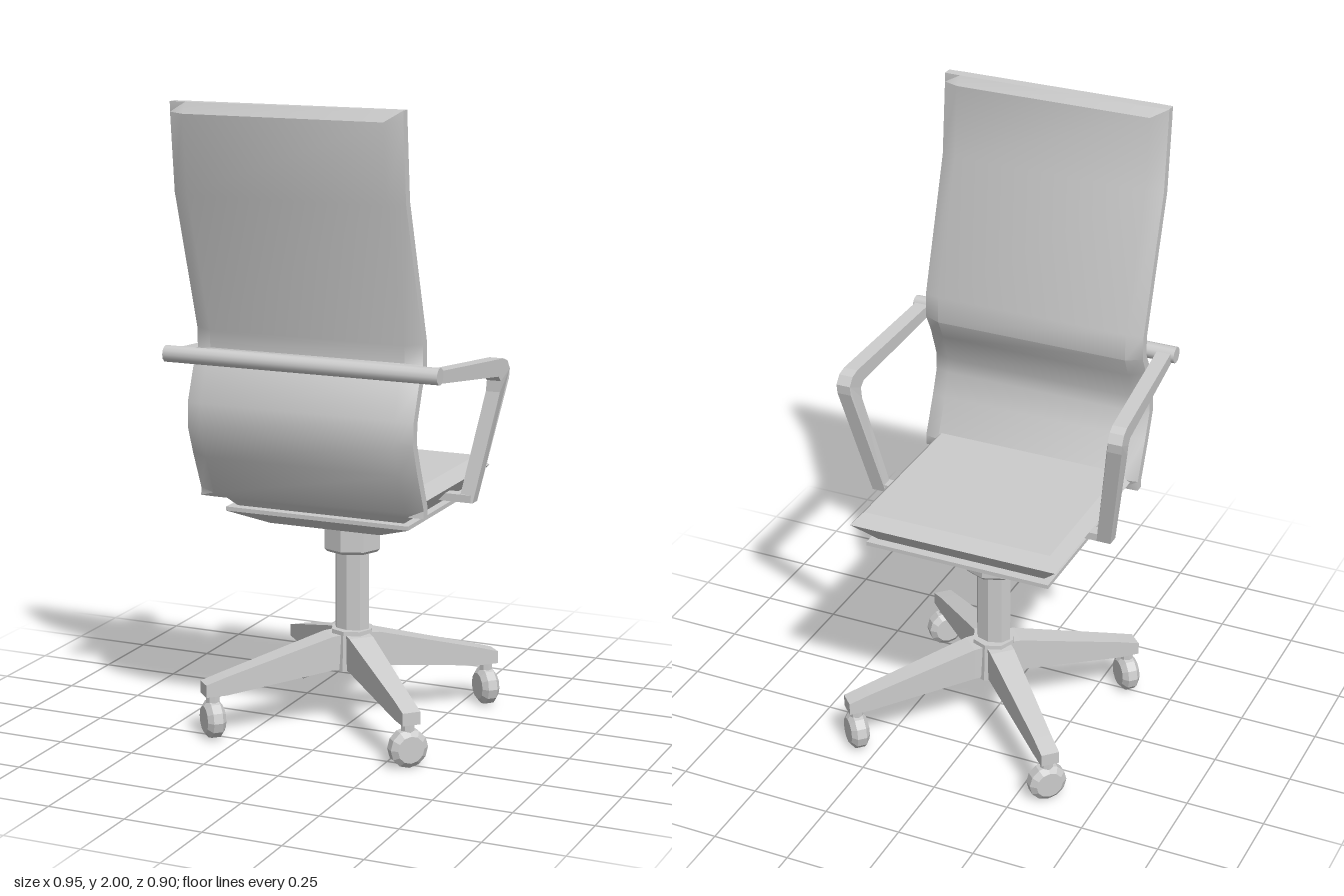
import * as THREE from 'three';
import { toCreasedNormals } from 'three/addons/utils/BufferGeometryUtils.js';

const CX = -0.007, CZ = -0.066; // axis of the column
const flat = new THREE.MeshStandardMaterial({ color: 0xcccccc, flatShading: true });
const smooth = new THREE.MeshStandardMaterial({ color: 0xcccccc });

function add(parent, name, geometry, material = flat, x = 0, y = 0, z = 0) {
  const mesh = new THREE.Mesh(geometry, material);
  mesh.name = name;
  mesh.position.set(x, y, z);
  parent.add(mesh);
  return mesh;
}

// Skin over equal-length loops, each counter-clockwise seen from the far end
function loft(sections) {
  const n = sections[0].length, last = (sections.length - 1) * n, index = [];
  for (let i = 0; i < last; i += n) {
    for (let j = 0; j < n; j++) {
      const k = (j + 1) % n;
      index.push(i + j, i + k, i + n + k, i + j, i + n + k, i + n + j);
    }
  }
  for (let j = 1; j < n - 1; j++) index.push(0, j + 1, j, last, last + j, last + j + 1);
  const geometry = new THREE.BufferGeometry();
  geometry.setAttribute('position', new THREE.Float32BufferAttribute(sections.flat(2), 3));
  geometry.setIndex(index);
  geometry.computeVertexNormals();
  return geometry;
}

// Stack of level rectangles: [y, half width, half depth]
const slab = (levels) => loft(levels.map(([y, a, b]) => [[a, y, b], [a, y, -b], [-a, y, -b], [-a, y, b]]));

function backrestGeometry() {
  // Centre line as [y, z, half thickness], bottom to top
  const spine = [
    [0.777, 0.242, 0.017], [0.805, 0.24, 0.036], [0.93, 0.294, 0.036], [1.013, 0.325, 0.036],
    [1.08, 0.323, 0.036], [1.18, 0.285, 0.036], [1.24, 0.252, 0.034], [1.31, 0.254, 0.034],
    [1.735, 0.388, 0.036], [1.97, 0.41, 0.039], [2.0, 0.411, 0.017],
  ];
  const sections = spine.map(([y, z, t], i) => {
    const a = spine[Math.max(i - 1, 0)], b = spine[Math.min(i + 1, spine.length - 1)];
    const end = i === 0 || i === spine.length - 1;
    const length = Math.hypot(b[0] - a[0], b[1] - a[1]);
    const nz = end ? 1 : (b[0] - a[0]) / length, ny = end ? 0 : -(b[1] - a[1]) / length;
    const outline = [[0.37, 0.015], [0.37, -0.015], [0.318, -t], [-0.318, -t],
      [-0.37, -0.015], [-0.37, 0.015], [-0.318, t], [0.318, t]];
    return outline.map(([x, d]) => [x, y + ny * d, z + nz * d]);
  });
  return toCreasedNormals(loft(sections), 0.56);
}

function armGeometry(side) {
  // Side outline as [z, y]: arm rail, bend and upright
  const outline = [[0.32, 1.24], [-0.13, 1.203], [-0.158, 1.192], [-0.176, 1.165], [-0.174, 1.135],
    [-0.082, 0.76], [-0.042, 0.76], [-0.112, 1.1], [-0.112, 1.135], [-0.095, 1.152], [0.32, 1.203]];
  const shape = new THREE.Shape(outline.map(([z, y]) => new THREE.Vector2(-z, y)));
  const geometry = new THREE.ExtrudeGeometry(shape, { depth: 0.046, bevelEnabled: false });
  geometry.translate(0, 0, -0.023).rotateY(Math.PI / 2);
  // Splay: the rail widens forward, the upright leans inward
  const p = geometry.attributes.position;
  for (let i = 0; i < p.count; i++) {
    const rail = 0.415 + (0.31 - p.getZ(i)) * 0.073;
    const upright = 0.385 + (p.getY(i) - 0.765) * 0.173;
    p.setX(i, p.getX(i) + side * Math.min(rail, upright));
  }
  geometry.computeVertexNormals();
  return geometry;
}

export function createModel() {
  const model = new THREE.Group();
  model.name = 'officeChair';

  // Seat and its support plate
  add(model, 'seat', slab([[0.73, 0.275, 0.24], [0.805, 0.342, 0.31], [0.84, 0.31, 0.275]]), flat, CX, 0, CZ);
  add(model, 'seatPlate', slab([[0.68, 0.185, 0.21], [0.722, 0.305, 0.275], [0.735, 0.305, 0.275]]), flat, CX, 0, CZ);

  // Backrest with cross rod
  add(model, 'backrest', backrestGeometry(), smooth, -0.003);
  const rod = add(model, 'backRod', toCreasedNormals(new THREE.CylinderGeometry(0.026, 0.026, 0.895, 12), 0.6),
    smooth, -0.002, 1.227, 0.328);
  rod.rotation.z = Math.PI / 2;

  // Armrests
  for (const side of [1, -1]) {
    const name = side > 0 ? 'leftArm' : 'rightArm';
    add(model, name, armGeometry(side));
    add(model, name + 'Foot', new THREE.BoxGeometry(0.15, 0.024, 0.04), flat, side * 0.325, 0.772, -0.062);
  }

  // Column
  const socket = [[0, 0.565], [0.085, 0.565], [0.095, 0.575], [0.095, 0.69], [0, 0.69]];
  add(model, 'columnSocket', new THREE.LatheGeometry(socket.map(([r, y]) => new THREE.Vector2(r, y)), 8),
    flat, CX, 0, CZ).scale.z = 0.93;
  add(model, 'column', new THREE.CylinderGeometry(0.058, 0.058, 0.3, 8), flat, CX, 0.43, CZ).scale.z = 0.75;
  add(model, 'baseHub', new THREE.CylinderGeometry(0.068, 0.075, 0.13, 8), flat, CX, 0.245, CZ);

  // Four legs with casters: leg sections are [distance, bottom, top, half width]
  const leg = loft([[0.02, 0.185, 0.3, 0.04], [0.08, 0.185, 0.295, 0.04], [0.43, 0.14, 0.2, 0.029], [0.497, 0.14, 0.18, 0.029]]
    .map(([r, low, high, w]) => [[r, low, -w], [r, high, -w], [r, high, w], [r, low, w]]));
  const tread = [[0, -0.03], [0.043, -0.03], [0.061, -0.015], [0.061, 0.015], [0.043, 0.03], [0, 0.03]];
  const wheel = new THREE.LatheGeometry(tread.map(([r, y]) => new THREE.Vector2(r, y)), 12);
  wheel.rotateZ(Math.PI / 2);
  for (let i = 0; i < 4; i++) {
    const limb = new THREE.Group();
    limb.name = 'baseLeg' + (i + 1);
    limb.position.set(CX, 0, CZ);
    limb.rotation.y = Math.PI / 4 + i * Math.PI / 2;
    add(limb, 'leg', leg);
    add(limb, 'casterStem', new THREE.CylinderGeometry(0.022, 0.022, 0.05, 8), flat, 0.467, 0.125, 0);
    add(limb, 'casterWheel', wheel, flat, 0.467, 0.061, 0);
    model.add(limb);
  }
  return model;
}
